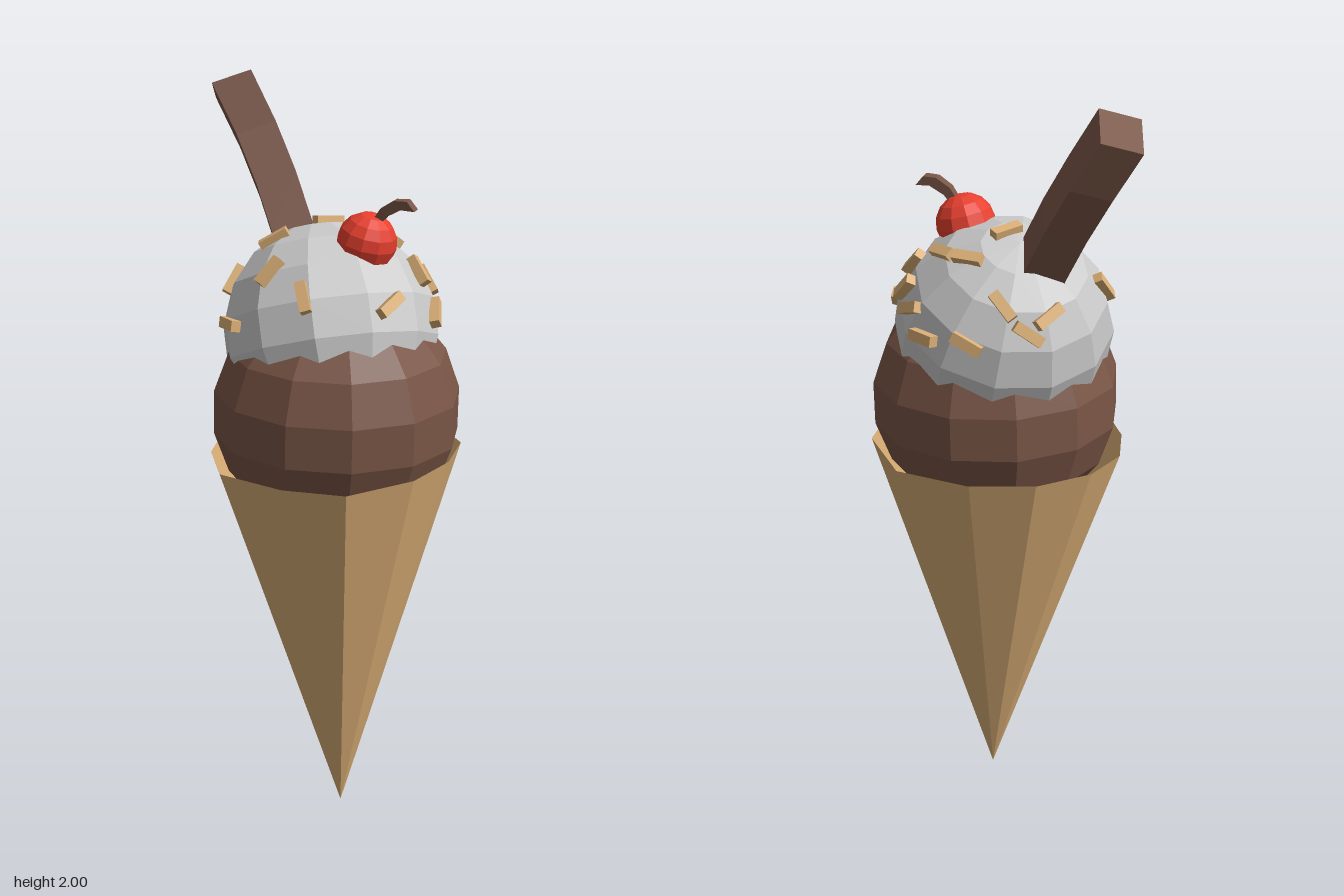
import * as THREE from 'three';

const mat = (color, side = THREE.FrontSide) =>
  new THREE.MeshStandardMaterial({ color, flatShading: true, side });
const wafer = mat(0xdcb077, THREE.DoubleSide);
const chocolate = mat(0x7a5647);
const cream = mat(0xcccccc);
const red = mat(0xe8402f);

const V = (x, y, z) => new THREE.Vector3(x, y, z);

function add(group, name, geometry, material) {
  const mesh = new THREE.Mesh(geometry, material);
  mesh.name = name;
  group.add(mesh);
  return mesh;
}

// Faceted ball whose pole leans towards the given direction
function ball(group, name, radius, center, pole, turn, material, sides = 12, rings = 9) {
  const geometry = new THREE.SphereGeometry(radius, sides, rings).rotateY(turn);
  const mesh = add(group, name, geometry, material);
  mesh.position.copy(center);
  mesh.quaternion.setFromUnitVectors(V(0, 1, 0), pole.clone().normalize());
  return mesh;
}

// Four-sided bar: the section corners +-u +-v carried along a row of centres
function bar(centres, u, v, scales = []) {
  const signs = [[-1, -1], [-1, 1], [1, 1], [1, -1]];
  const pos = [], index = [];
  centres.forEach((c, i) => signs.forEach(([a, b]) => {
    const s = scales[i] ?? 1;
    pos.push(...c.clone().addScaledVector(u, a * s).addScaledVector(v, b * s).toArray());
  }));
  for (let i = 0; i < centres.length - 1; i++) {
    for (let k = 0; k < 4; k++) {
      const a = i * 4 + k, b = i * 4 + (k + 1) % 4;
      index.push(a, b, b + 4, a, b + 4, a + 4);
    }
  }
  const t = (centres.length - 1) * 4;
  index.push(0, 2, 1, 0, 3, 2, t, t + 1, t + 2, t, t + 2, t + 3);
  const g = new THREE.BufferGeometry();
  g.setAttribute('position', new THREE.Float32BufferAttribute(pos, 3));
  g.setIndex(index);
  g.computeVertexNormals();
  return g;
}

// Open cone with a slightly uneven eleven-sided rim
function coneGeometry() {
  const rim = [[0.03, -0.33], [-0.13, -0.275], [-0.245, -0.16], [-0.29, -0.03], [-0.265, 0.1],
    [-0.175, 0.26], [0.02, 0.33], [0.19, 0.33], [0.32, 0.18], [0.365, 0.02], [0.355, -0.14], [0.23, -0.305]];
  const pos = [0.07, 0, 0.005], index = [];
  rim.forEach(([x, z], i) => {
    pos.push(x, 1.045 + 0.03 * x, z);
    index.push(0, 1 + (i + 1) % rim.length, 1 + i);
  });
  const g = new THREE.BufferGeometry();
  g.setAttribute('position', new THREE.Float32BufferAttribute(pos, 3));
  g.setIndex(index);
  g.computeVertexNormals();
  return g;
}

export function createModel() {
  const group = new THREE.Group();
  add(group, 'cone', coneGeometry(), wafer);

  // Two scoops
  const top = V(0.025, 1.365, -0.025), topR = 0.284;
  ball(group, 'lowerScoop', 0.328, V(0.055, 1.16, 0.005), V(0.02, 1, 0.01), -0.08, chocolate);
  ball(group, 'upperScoop', topR, top, V(-0.24, 0.9, -0.32), 0.2, cream);

  // Bent chocolate stick, sunk into the upper scoop
  add(group, 'chocolateStick', bar(
    [V(-0.07, 1.5, -0.08), V(-0.107, 1.59, -0.117), V(-0.17, 1.71, -0.165), V(-0.24, 1.83, -0.205), V(-0.317, 1.956, -0.228)],
    V(0.046, 0.016, -0.024), V(0.014, 0.028, 0.048)), chocolate);

  // Cherry and its stem
  ball(group, 'cherry', 0.078, V(0.137, 1.618, 0.018), V(0.25, 1, 0.05), 0, red, 11, 8);
  add(group, 'cherryStem', bar(
    [V(0.155, 1.66, 0.02), V(0.185, 1.7, 0.022), V(0.222, 1.722, 0.024), V(0.258, 1.722, 0.026)],
    V(0, 0, 0.015), V(-0.009, 0.011, 0), [0.7, 0.9, 1, 1.1]), chocolate);

  // Sprinkles: x, z of both ends, lifted onto the upper scoop
  const ends = [
    [-0.03, -0.05, 0.03, -0.12], [-0.15, 0.04, -0.06, 0.015], [-0.1, 0.185, -0.04, 0.125],
    [0.02, 0.19, 0.055, 0.235], [0.22, 0.15, 0.245, 0.09], [-0.21, 0.13, -0.14, 0.2],
    [-0.24, 0.025, -0.215, -0.02], [0.04, -0.19, 0.1, -0.175], [0.135, -0.155, 0.16, -0.135],
    [0.22, -0.16, 0.275, -0.125], [0.225, -0.085, 0.27, -0.055], [0.29, -0.085, 0.305, -0.035],
    [0.19, -0.23, 0.235, -0.195], [0.15, -0.28, 0.18, -0.26], [0.02, -0.307, 0.06, -0.3],
    [-0.055, -0.265, -0.025, -0.255], [-0.13, -0.255, -0.08, -0.27], [-0.16, -0.2, -0.13, -0.24],
  ];
  const lift = (x, z) => {
    const dx = x - top.x, dz = z - top.z;
    const y = Math.sqrt(Math.max(0.002, topR * topR - dx * dx - dz * dz));
    return V(dx, y, dz).setLength(topR);
  };
  const sprinkles = new THREE.Group();
  sprinkles.name = 'sprinkles';
  const box = new THREE.BoxGeometry(0.028, 0.026, 0.08);
  for (const [x1, z1, x2, z2] of ends) {
    const a = lift(x1, z1), b = lift(x2, z2);
    const normal = a.clone().add(b).normalize();
    const along = b.clone().sub(a).normalize();
    const mesh = add(sprinkles, 'sprinkle', box, wafer);
    mesh.quaternion.setFromRotationMatrix(
      new THREE.Matrix4().makeBasis(normal.clone().cross(along), normal, along));
    mesh.position.copy(top).addScaledVector(normal, topR);
  }
  group.add(sprinkles);
  return group;
}
